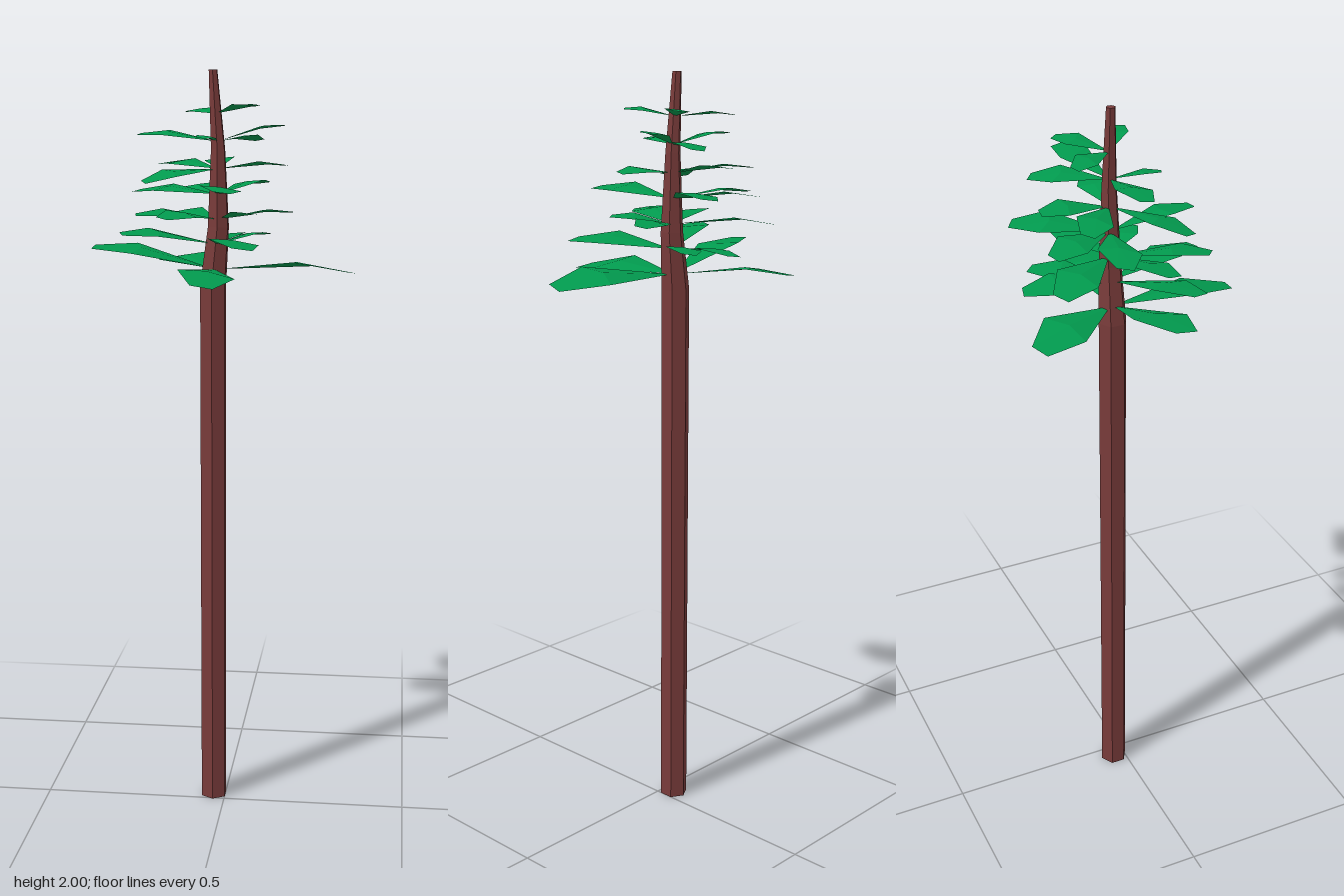
import * as THREE from 'three';

const bark = new THREE.MeshStandardMaterial({ color: 0x783b3a, flatShading: true });
bark.name = 'bark brown';
const foliage = new THREE.MeshStandardMaterial({ color: 0x029a4e, flatShading: true, side: THREE.DoubleSide });
foliage.name = 'leaf green';

// Trunk cross-sections: height, centre x, centre z, radius
const RINGS = [
  [0, -0.032, -0.032, 0.0375],
  [1.45, -0.032, -0.032, 0.0375],
  [1.6, -0.018, -0.032, 0.03],
  [1.8, -0.019, -0.034, 0.02],
  [2, -0.032, -0.035, 0.012],
];

// Trunk axis at a given height
function axisAt(y) {
  let i = 0;
  while (i < RINGS.length - 2 && y > RINGS[i + 1][0]) i++;
  const a = RINGS[i], b = RINGS[i + 1];
  const t = (y - a[0]) / (b[0] - a[0]);
  return [a[1] + (b[1] - a[1]) * t, a[2] + (b[2] - a[2]) * t];
}

// Six-sided trunk, straight below and bent and tapered at the crown
function makeTrunk() {
  const geo = new THREE.CylinderGeometry(1, 1, 1, 6, RINGS.length - 1);
  const p = geo.attributes.position;
  for (let i = 0; i < p.count; i++) {
    const k = Math.round((p.getY(i) + 0.5) * (RINGS.length - 1));
    const [y, cx, cz, r] = RINGS[k];
    p.setXYZ(i, cx + p.getX(i) * r, y, cz + p.getZ(i) * r);
  }
  geo.computeVertexNormals();
  const mesh = new THREE.Mesh(geo, bark);
  mesh.name = 'trunk';
  return mesh;
}

// Pointed-root leaf with a blunt tip, arched along its length and rolled to one side
function makeLeaf(rootY, [tx, tz, tipY]) {
  const [rx, rz] = axisAt(rootY);
  const dx = tx - rx, dz = tz - rz, L = Math.hypot(dx, dz);
  const at = (t, w, arch) => [
    rx + dx * t - dz * w,
    rootY + (tipY - rootY) * t + (arch + 0.14 * w) * L,
    rz + dz * t + dx * w,
  ];
  const root = at(0.02, 0, 0);
  const wideR = at(0.63, 0.22, 0.05), wideL = at(0.69, -0.22, 0.05);
  const mid = at(0.6, 0, 0.065);
  const tipR = at(0.98, 0.085, 0), tipL = at(1.01, -0.085, 0);
  const faces = [
    root, wideR, mid, root, mid, wideL,
    mid, wideR, tipR, mid, tipR, tipL, mid, tipL, wideL,
  ];
  const geo = new THREE.BufferGeometry();
  geo.setAttribute('position', new THREE.Float32BufferAttribute(faces.flat(), 3));
  geo.computeVertexNormals();
  const mesh = new THREE.Mesh(geo, foliage);
  mesh.name = 'leaf';
  return mesh;
}

// Leaf tiers from the bottom up: root height, then each tip as x, z, height
const TIERS = [
  [1.49, [[0.338, 0.033, 1.49], [-0.344, 0.018, 1.55], [-0.022, 0.302, 1.478], [-0.192, -0.292, 1.495]]],
  [1.555, [[0.073, 0.243, 1.565], [-0.255, 0.1, 1.59], [-0.003, -0.258, 1.56], [0.1, -0.2, 1.57]]],
  [1.62, [[-0.19, -0.235, 1.62], [0.173, -0.104, 1.635], [-0.135, 0.187, 1.635], [0.09, 0.083, 1.64],
    [-0.225, 0.045, 1.635]]],
  [1.685, [[-0.247, -0.095, 1.69], [0.018, 0.208, 1.7], [0.085, -0.252, 1.705], [-0.13, -0.227, 1.695]]],
  [1.75, [[-0.195, 0.1, 1.72], [0.16, -0.02, 1.76], [-0.185, -0.163, 1.76], [-0.035, -0.22, 1.77]]],
  [1.82, [[-0.05, 0.09, 1.83], [0.075, -0.203, 1.82], [-0.228, -0.033, 1.838], [0.15, -0.1, 1.86]]],
  [1.89, [[-0.11, -0.162, 1.895], [0.08, 0.042, 1.91], [0.075, -0.138, 1.91]]],
];

export function createModel() {
  const tree = new THREE.Group();
  tree.name = 'tree';
  tree.add(makeTrunk());
  for (const [rootY, tips] of TIERS) {
    const tier = new THREE.Group();
    tier.name = 'leafTier';
    tips.forEach((tip) => tier.add(makeLeaf(rootY, tip)));
    tree.add(tier);
  }
  return tree;
}
